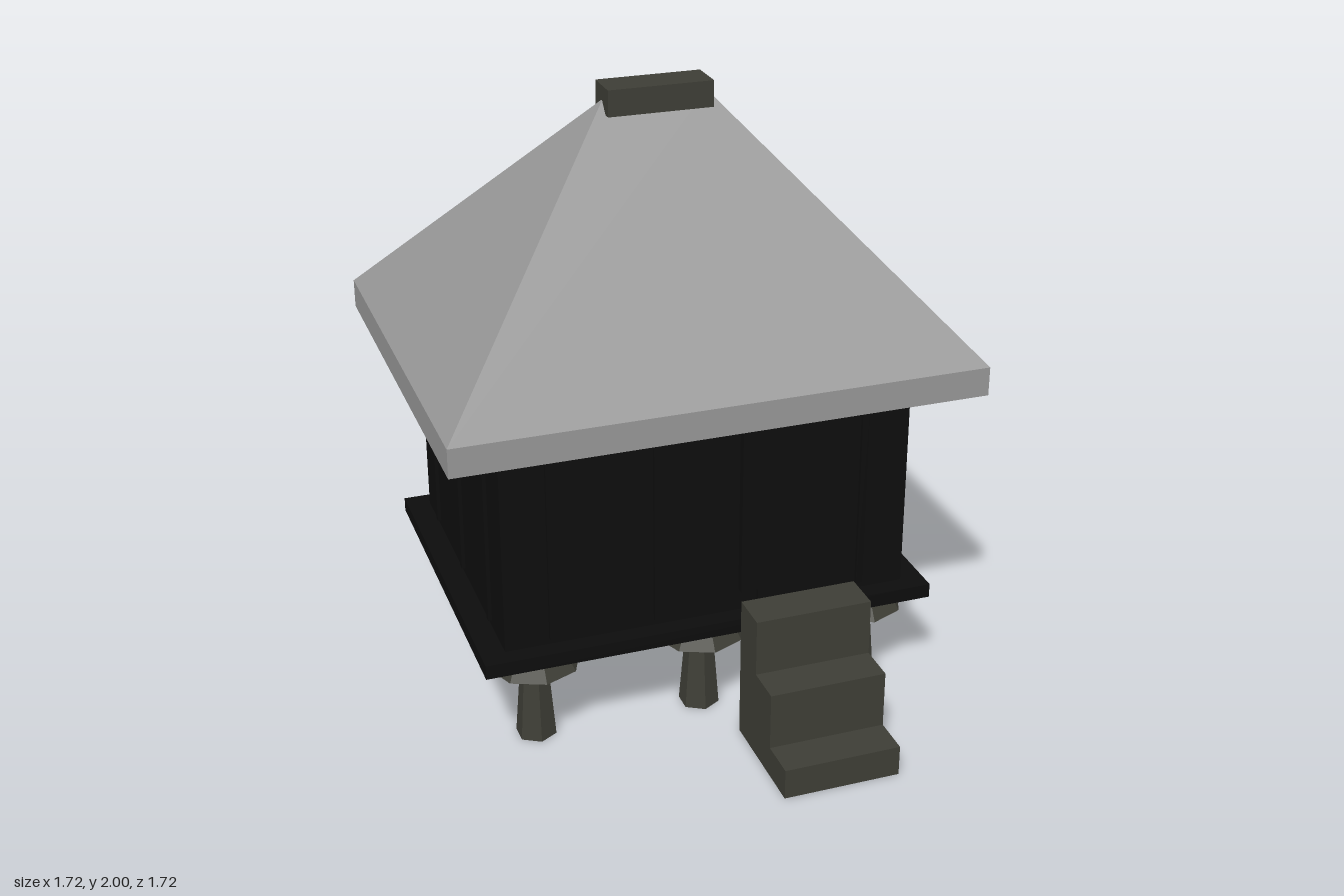
import * as THREE from 'three';

const flat = (name, color) => {
  const m = new THREE.MeshStandardMaterial({ color, flatShading: true });
  m.name = name;
  return m;
};

export function createModel() {
  const model = new THREE.Group();
  model.name = 'raisedGranary';
  const stone = flat('dark stone', 0x3e3e36);
  const wood = flat('black timber', 0x0d0d0d);
  const slate = flat('grey roofing', 0x989898);

  const add = (parent, name, geometry, material, x, y, z) => {
    const mesh = new THREE.Mesh(geometry, material);
    mesh.name = name;
    mesh.position.set(x, y, z);
    parent.add(mesh);
    return mesh;
  };
  const box = (parent, name, material, x0, x1, y0, y1, z0, z1) =>
    add(parent, name, new THREE.BoxGeometry(x1 - x0, y1 - y0, z1 - z0), material,
      (x0 + x1) / 2, (y0 + y1) / 2, (z0 + z1) / 2);

  // The house sits behind the steps, centred on its own origin
  const house = new THREE.Group();
  house.name = 'house';
  house.position.z = -0.173;
  model.add(house);

  // Tapered stone legs with flared caps
  for (const x of [-0.56, 0, 0.56]) {
    for (const z of [-0.43, 0.43]) {
      add(house, 'stoneLeg', new THREE.CylinderGeometry(0.045, 0.067, 0.27, 6), stone, x, 0.135, z);
      add(house, 'legCap', new THREE.CylinderGeometry(0.115, 0.152, 0.06, 8), stone, x, 0.3, z);
    }
  }

  // Floor platform and walls
  box(house, 'platform', wood, -0.753, 0.753, 0.33, 0.378, -0.582, 0.582);
  box(house, 'walls', wood, -0.675, 0.675, 0.375, 1.1, -0.521, 0.521);

  // Thin vertical battens on all four walls
  for (const s of [-1, 1]) {
    for (const x of [-0.52, -0.175, 0.175, 0.52]) {
      box(house, 'wallBatten', wood, x - 0.012, x + 0.012, 0.4, 1.1, s * 0.526 - 0.007, s * 0.526 + 0.007);
    }
    for (const z of [-0.35, 0, 0.35]) {
      box(house, 'sideBatten', wood, s * 0.68 - 0.007, s * 0.68 + 0.007, 0.4, 1.1, z - 0.012, z + 0.012);
    }
  }
  box(house, 'door', wood, 0.1, 0.45, 0.455, 1.06, 0.515, 0.547);

  // Hipped roof: eave slab, and a box with its top drawn in to the ridge
  box(house, 'eaves', slate, -0.86, 0.86, 1.095, 1.19, -0.687, 0.687);
  const hip = new THREE.BoxGeometry(1.72, 0.765, 1.374);
  const p = hip.attributes.position;
  for (let i = 0; i < p.count; i++) {
    if (p.getY(i) > 0) {
      p.setX(i, Math.sign(p.getX(i)) * 0.17);
      p.setZ(i, Math.sign(p.getZ(i)) * 0.001);
    }
  }
  hip.computeVertexNormals();
  add(house, 'hippedRoof', hip, slate, 0, 1.19 + 0.3825, 0);
  box(house, 'ridgeCap', stone, -0.172, 0.172, 1.915, 2, -0.064, 0.064);

  // Solid stone steps, from one side outline
  const outline = [[0.47, 0], [0.86, 0], [0.86, 0.102], [0.732, 0.102],
    [0.732, 0.293], [0.604, 0.293], [0.604, 0.482], [0.47, 0.482]];
  const side = new THREE.Shape(outline.map(([z, y]) => new THREE.Vector2(z, y)));
  const steps = new THREE.ExtrudeGeometry(side, { depth: 0.385, bevelEnabled: false });
  steps.rotateY(-Math.PI / 2);
  add(model, 'steps', steps, stone, 0.448, 0, 0);

  return model;
}
